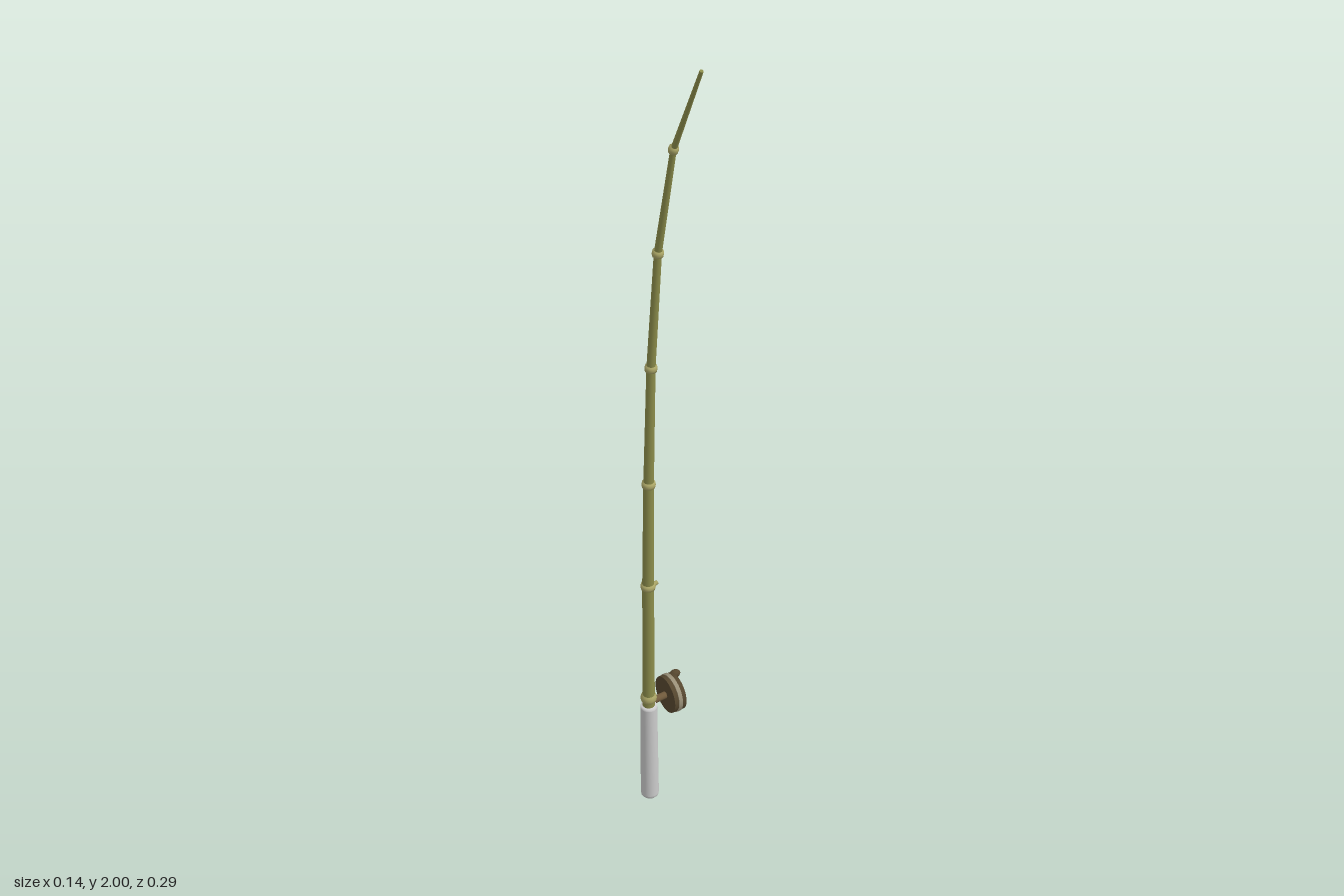
import * as THREE from 'three';

const paint = (color) => new THREE.MeshStandardMaterial({ color });
const grey = paint(0xcccccc);
const cane = paint(0x8c8d4b);
const joint = paint(0xaaa566);
const brown = paint(0x56472f);
const wood = paint(0x705a3c);
const pale = paint(0x9a9078);

const UP = new THREE.Vector3(0, 1, 0);
const X = -0.047;

function add(parent, name, geometry, material) {
  const mesh = new THREE.Mesh(geometry, material);
  mesh.name = name;
  parent.add(mesh);
  return mesh;
}

// Tapered round bar between two points
function bar(parent, name, a, b, ra, rb, material) {
  const dir = b.clone().sub(a);
  const mesh = add(parent, name, new THREE.CylinderGeometry(rb, ra, dir.length(), 16), material);
  mesh.position.copy(a).add(b).multiplyScalar(0.5);
  mesh.quaternion.setFromUnitVectors(UP, dir.normalize());
  return mesh;
}

// Lathe from [radius, height] pairs
const lathe = (points) =>
  new THREE.LatheGeometry(points.map(([r, y]) => new THREE.Vector2(r, y)), 24);

function createPole() {
  const pole = new THREE.Group();
  pole.name = 'pole';
  // Joints along the bent cane: y, z, cane radius
  const joints = [
    [0.28, -0.086, 0.0150], [0.655, -0.082, 0.0138], [0.945, -0.074, 0.0120],
    [1.255, -0.058, 0.0100], [1.545, -0.025, 0.0085], [1.80, 0.038, 0.0065], [1.998, 0.14, 0.0040],
  ];
  const at = joints.map(([y, z]) => new THREE.Vector3(X, y, z));
  for (let i = 0; i < joints.length - 1; i++) {
    const r = joints[i][2];
    bar(pole, 'caneSegment', at[i], at[i + 1], r, joints[i + 1][2], cane);
    if (i === 0) continue;
    // Rounded swelling at each joint
    const h = 0.009, R = r + 0.0042;
    const ring = add(pole, 'caneJoint',
      lathe([[r * 0.8, -h], [R * 0.93, -h * 0.7], [R, 0], [R * 0.93, h * 0.7], [r * 0.8, h]]), joint);
    ring.position.copy(at[i]);
    ring.quaternion.setFromUnitVectors(UP, at[i + 1].clone().sub(at[i - 1]).normalize());
  }
  // Swelling just above the grip
  const collar = add(pole, 'collar',
    lathe([[0.013, -0.013], [0.018, -0.008], [0.020, 0], [0.018, 0.008], [0.013, 0.013]]), joint);
  collar.position.set(X, 0.315, -0.086);
  // Cut twig on the lowest free joint
  bar(pole, 'twigStub', new THREE.Vector3(X + 0.008, 0.652, -0.082),
    new THREE.Vector3(X + 0.025, 0.657, -0.082), 0.006, 0.005, joint);
  return pole;
}

function createReel() {
  const reel = new THREE.Group();
  reel.name = 'reel';
  const y = 0.288, z = -0.100;
  const disc = (name, x0, x1, r, material) => bar(reel, name,
    new THREE.Vector3(x0, y, z), new THREE.Vector3(x1, y, z), r, r, material).geometry =
    new THREE.CylinderGeometry(r, r, x1 - x0, 32);
  // Stalk and drum
  bar(reel, 'stalk', new THREE.Vector3(X, y, z + 0.004),
    new THREE.Vector3(0.010, y, z), 0.009, 0.009, wood);
  disc('innerFlange', 0.008, 0.019, 0.047, brown);
  disc('drum', 0.019, 0.029, 0.049, pale);
  disc('outerFlange', 0.029, 0.040, 0.047, brown);
  // Crank and knob
  const hub = new THREE.Vector3(0.046, y, z);
  const end = new THREE.Vector3(0.046, 0.311, -0.133);
  bar(reel, 'crankHub', new THREE.Vector3(0.036, y, z),
    new THREE.Vector3(0.051, y, z), 0.006, 0.006, wood);
  bar(reel, 'crankArm', hub, end, 0.005, 0.005, wood);
  const knob = add(reel, 'crankKnob', new THREE.SphereGeometry(0.0105, 20, 14), brown);
  knob.scale.x = 1.35;
  knob.position.set(0.055, end.y, end.z);
  return reel;
}

export function createModel() {
  const model = new THREE.Group();
  model.name = 'fishingRod';

  // Grip with softened ends
  const grip = add(model, 'grip', lathe([
    [0, 0], [0.019, 0], [0.0215, 0.003], [0.0225, 0.009], [0.0225, 0.009],
    [0.0205, 0.285], [0.0205, 0.285], [0.019, 0.292], [0, 0.292],
  ]), grey);
  grip.position.set(X, 0, -0.086);

  model.add(createPole(), createReel());
  return model;
}
